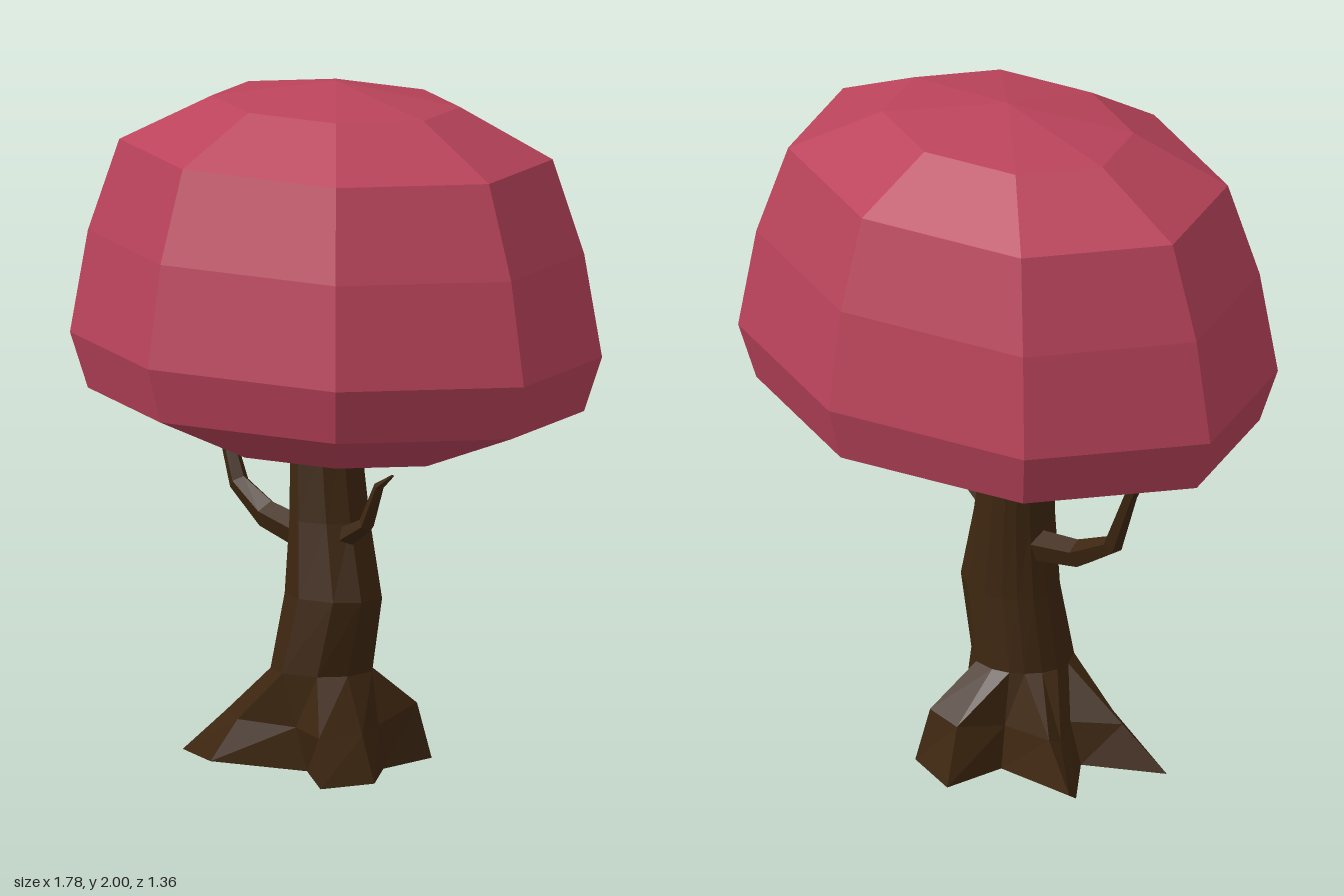
import * as THREE from 'three';

const leaf = new THREE.MeshStandardMaterial({ color: 0xb9435a });
leaf.name = 'leaf red';
const bark = new THREE.MeshStandardMaterial({ color: 0x3d2610 });
bark.name = 'bark brown';

// Faceted normals for the low-poly look
function faceted(geometry) {
  const g = geometry.index ? geometry.toNonIndexed() : geometry;
  g.computeVertexNormals();
  return g;
}

function part(name, geometry, material) {
  const mesh = new THREE.Mesh(geometry, material);
  mesh.name = name;
  return mesh;
}

// Closed skin over cross-sections listed from bottom to top
function loft(rings) {
  const n = rings[0].length, pos = [], idx = [];
  rings.forEach(r => r.forEach(p => pos.push(...p)));
  for (let i = 0; i < rings.length - 1; i++) {
    for (let j = 0; j < n; j++) {
      const a = i * n + j, b = i * n + (j + 1) % n;
      idx.push(a, a + n, b, b, a + n, b + n);
    }
  }
  [0, rings.length - 1].forEach((k, end) => {
    const c = pos.length / 3;
    const mean = [0, 1, 2].map(d => rings[k].reduce((s, p) => s + p[d], 0) / n);
    pos.push(...mean);
    for (let j = 0; j < n; j++) {
      const a = k * n + j, b = k * n + (j + 1) % n;
      if (end) idx.push(c, b, a); else idx.push(c, a, b);
    }
  });
  const g = new THREE.BufferGeometry();
  g.setAttribute('position', new THREE.Float32BufferAttribute(pos, 3));
  g.setIndex(idx);
  return faceted(g);
}

// Tapered five-sided limb through [x, y, radius] points
function limb(points, z) {
  return loft(points.map(([x, y, r], i) => {
    const p = points[Math.max(i - 1, 0)], q = points[Math.min(i + 1, points.length - 1)];
    const t = new THREE.Vector2(q[0] - p[0], q[1] - p[1]).normalize();
    return Array.from({ length: 5 }, (_, k) => {
      const a = k / 5 * Math.PI * 2, c = r * Math.cos(a);
      return [x + c * t.y, y - c * t.x, z + r * Math.sin(a)];
    });
  }));
}

function trunkGeometry() {
  // Root outline on the ground, from the left side round by the front
  const base = [
    [0.30, 0, 0.09], [0.28, 0, 0.27], [0.02, 0, 0.12], [-0.28, 0, 0.24],
    [-0.49, 0, 0.18], [-0.28, 0, 0.035], [-0.45, 0, -0.13], [-0.49, 0.04, -0.19],
    [-0.15, 0, -0.155], [-0.15, 0, -0.36], [0.06, 0, -0.30], [0.12, 0, -0.08],
  ];
  const angles = [10, 45, 90, 130, 160, 180, 200, 220, 237, 258, 285, 325];
  const ring = (y, x0, x1, z0, z1) => angles.map(d => {
    const a = d * Math.PI / 180;
    return [(x0 + x1) / 2 + (x1 - x0) / 2 * Math.cos(a), y,
      (z0 + z1) / 2 + (z1 - z0) / 2 * Math.sin(a)];
  });
  const collar = ring(0.28, -0.20, 0.11, -0.13, 0.16);
  const roots = base.map((p, i) => [0, 1, 2].map(d => p[d] + (collar[i][d] - p[d]) * 0.45));
  // High blunt root at the back
  roots[9] = [-0.10, 0.15, -0.28];
  roots[10] = [0.03, 0.16, -0.27];
  return loft([
    base, roots, collar,
    ring(0.50, -0.17, 0.155, -0.125, 0.13),
    ring(0.72, -0.155, 0.09, -0.12, 0.11),
    ring(0.96, -0.155, 0.05, -0.11, 0.10),
  ]);
}

function canopyGeometry() {
  const profile = [[0, 0.90], [0.43, 0.935], [0.83, 1.07], [0.89, 1.23],
    [0.83, 1.53], [0.725, 1.80], [0.415, 1.94], [0, 2.0]];
  const g = new THREE.LatheGeometry(profile.map(p => new THREE.Vector2(...p)), 8);
  g.scale(1, 1, 0.765);
  return faceted(g);
}

export function createModel() {
  const tree = new THREE.Group();
  tree.name = 'tree';
  tree.add(part('canopy', canopyGeometry(), leaf));
  tree.add(part('trunk', trunkGeometry(), bark));
  tree.add(part('longBranch', limb([[-0.08, 0.645, 0.05], [-0.32, 0.69, 0.042],
    [-0.46, 0.765, 0.03], [-0.54, 0.95, 0.02], [-0.60, 1.03, 0.01]], 0), bark));
  tree.add(part('shortBranch', limb([[0.05, 0.67, 0.035], [0.17, 0.73, 0.024],
    [0.23, 0.85, 0.015], [0.295, 0.89, 0.004]], 0.02), bark));
  // Twig tips just breaking through the leaves, front and back
  for (const s of [1, -1]) {
    const tip = part('twigTip', new THREE.BoxGeometry(0.06, 0.012, 0.02), bark);
    tip.position.set(0, 1.793, s * 0.527);
    tree.add(tip);
  }
  return tree;
}
